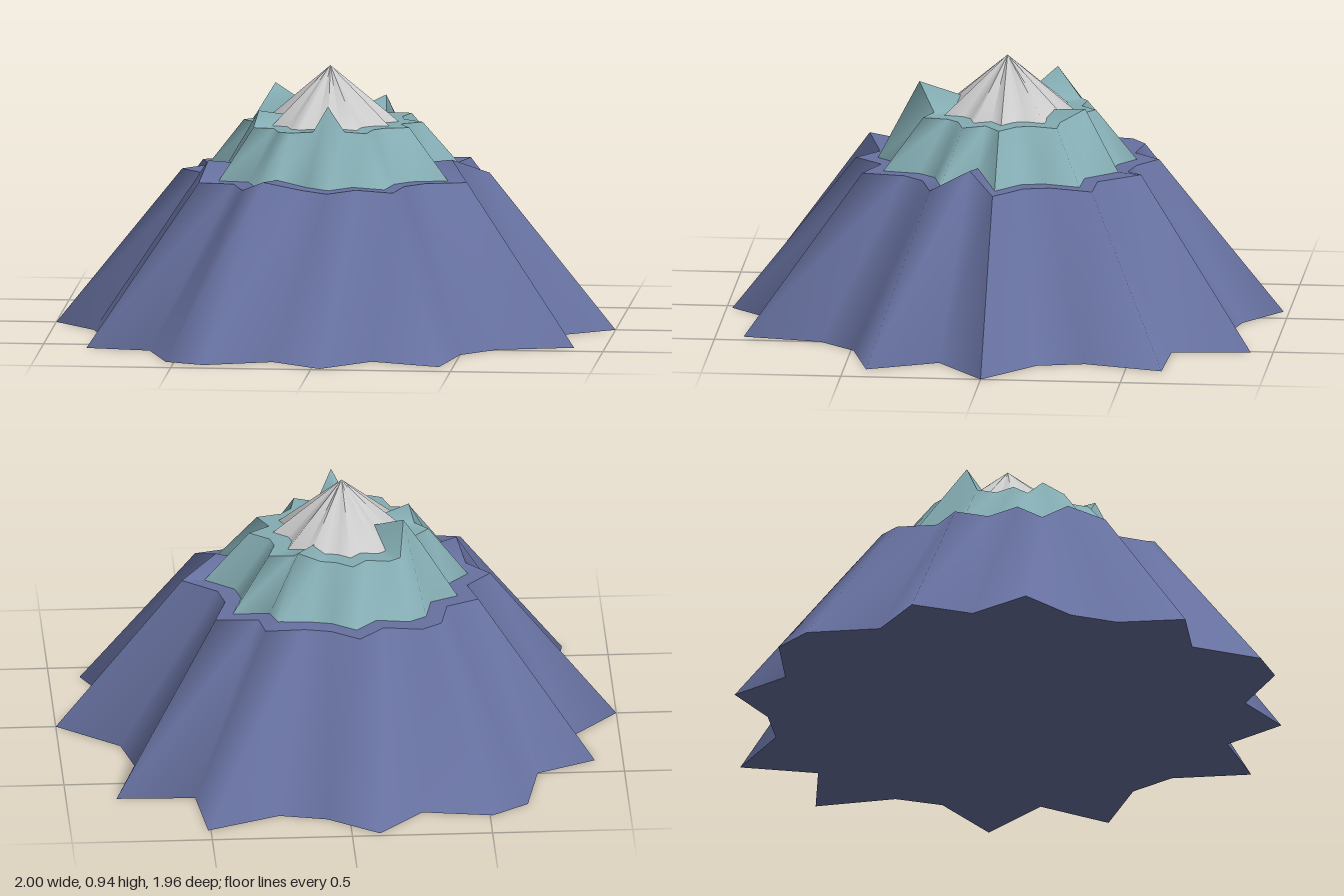
import * as THREE from 'three';

// Jagged star outline as [x, z], one point every 12 degrees from +x towards +z
const OUTLINE = [
  [1, 0], [0.77, 0.17], [0.89, 0.42], [0.62, 0.49], [0.5, 0.62], [0.45, 0.9],
  [0.2, 0.8], [0.03, 0.98], [-0.15, 0.84], [-0.39, 0.93], [-0.53, 0.87], [-0.61, 0.62],
  [-0.84, 0.58], [-0.8, 0.34], [-0.85, 0.17], [-1, 0], [-0.84, -0.18], [-0.9, -0.4],
  [-0.69, -0.5], [-0.64, -0.76], [-0.51, -0.85], [-0.26, -0.81], [-0.1, -0.98], [0.08, -0.85],
  [0.25, -0.81], [0.51, -0.92], [0.54, -0.64], [0.82, -0.63], [0.74, -0.35], [0.78, -0.18],
];
const N = OUTLINE.length;

// One tier: a tapered cylinder whose rings follow the outline.
// peaks maps an outline index to the raised height of the top rim there.
function tier(name, color, y0, y1, bottom, top, shiftX = 0, topShiftX = 0, peaks = {}) {
  const geo = new THREE.CylinderGeometry(top, bottom, y1 - y0, N, 1, false, Math.PI / 2);
  geo.translate(0, (y0 + y1) / 2, 0);
  const pos = geo.attributes.position;
  const middle = (y0 + y1) / 2;
  for (let i = 0; i < pos.count; i++) {
    const x = pos.getX(i), z = pos.getZ(i);
    const r = Math.hypot(x, z);
    const upper = pos.getY(i) > middle;
    const shift = upper ? topShiftX : shiftX;
    if (r < 1e-6) {
      pos.setX(i, shift);
      continue;
    }
    const k = (Math.round(Math.atan2(z, x) / (2 * Math.PI) * N) + N) % N;
    const [ox, oz] = OUTLINE[k];
    const y = upper && peaks[k] ? peaks[k] : pos.getY(i);
    pos.setXYZ(i, ox * r + shift, y, oz * r);
  }
  geo.computeVertexNormals();
  const mesh = new THREE.Mesh(geo, new THREE.MeshStandardMaterial({ color }));
  mesh.name = name;
  return mesh;
}

export function createModel() {
  const mountain = new THREE.Group();
  mountain.name = 'mountain';
  mountain.add(
    // Broad foot with a few raised points on its rim
    tier('lowerSlope', 0x6771a0, 0, 0.56, 1, 0.55, 0, 0,
      { 1: 0.62, 9: 0.595, 13: 0.62, 25: 0.585 }),
    // Middle band with taller crags
    tier('middleSlope', 0x84adb3, 0.56, 0.74, 0.47, 0.32, 0, -0.01,
      { 7: 0.84, 13: 0.79, 18: 0.85, 25: 0.79 }),
    // Pointed summit
    tier('summit', 0xcccccc, 0.74, 0.94, 0.24, 0, -0.015, -0.02),
  );
  return mountain;
}
